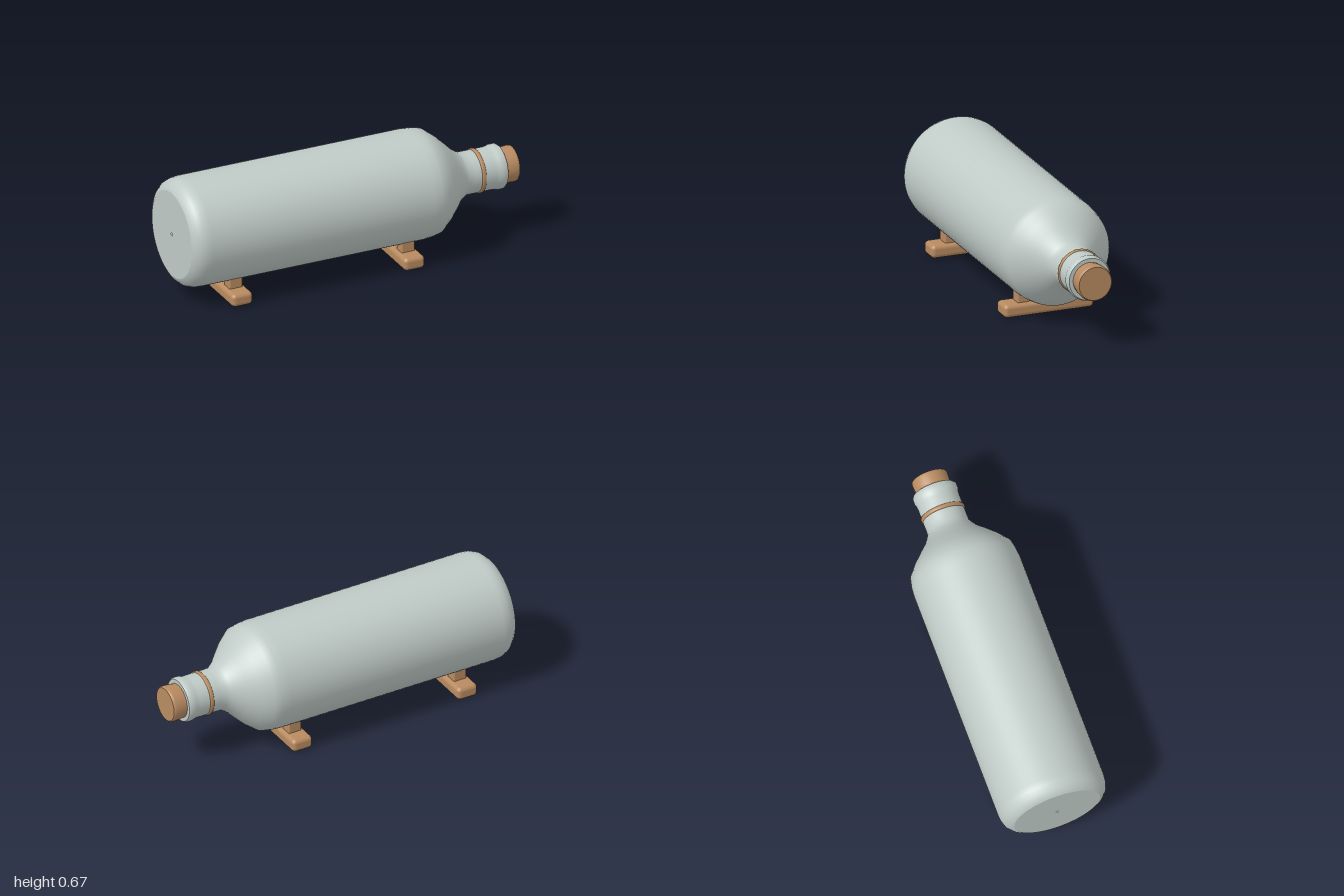
import * as THREE from 'three';
import { RoundedBoxGeometry } from 'three/addons/geometries/RoundedBoxGeometry.js';

const AXIS_Y = 0.375;

export function createModel() {
  const model = new THREE.Group();
  model.name = 'bottleOnStand';

  const glass = new THREE.MeshStandardMaterial({ color: 0xbfcac6, side: THREE.DoubleSide });
  glass.name = 'paleGlass';
  const wood = new THREE.MeshStandardMaterial({ color: 0xb88a60 });
  wood.name = 'warmWood';

  // Turned part lying along x; profile points are [x, radius], repeated points make a sharp edge
  function turned(name, profile, material) {
    const points = profile.map(([x, r]) => new THREE.Vector2(r, x));
    const geometry = new THREE.LatheGeometry(points, 64).rotateZ(-Math.PI / 2);
    const mesh = new THREE.Mesh(geometry, material);
    mesh.name = name;
    mesh.position.y = AXIS_Y;
    model.add(mesh);
  }

  function block(name, size, radius, position) {
    const mesh = new THREE.Mesh(new RoundedBoxGeometry(...size, 4, radius), wood);
    mesh.name = name;
    mesh.position.set(...position);
    model.add(mesh);
  }

  // Bottle: flat base with a pinhole, body, shoulder, neck and lip
  turned('bottle', [
    [-1, 0.008], [-1, 0.24], [-1, 0.24], [-0.99, 0.262], [-0.965, 0.285], [-0.935, 0.296],
    [-0.9, 0.3], [0.4, 0.3], [0.45, 0.296], [0.495, 0.287], [0.55, 0.244], [0.6, 0.195],
    [0.64, 0.153], [0.67, 0.131], [0.695, 0.117], [0.73, 0.116], [0.85, 0.116], [0.87, 0.118],
    [0.885, 0.123], [0.91, 0.123], [0.92, 0.116], [0.92, 0.116], [0.92, 0.09],
  ], glass);

  // Stopper
  turned('cork', [
    [0.9, 0.094], [0.93, 0.094], [0.945, 0.097], [0.985, 0.099], [0.996, 0.097],
    [1, 0.092], [1, 0.092], [1, 0],
  ], wood);

  // Band around the neck
  turned('neckRing', [
    [0.768, 0.114], [0.77, 0.12], [0.775, 0.122], [0.785, 0.122], [0.79, 0.12], [0.792, 0.114],
  ], wood);

  // Two cradles, each a cross bar with a pair of posts
  for (const x of [-0.705, 0.305]) {
    block('standFoot', [0.122, 0.073, 0.512], 0.024, [x, 0.0375, 0]);
    for (const side of [-1, 1]) {
      block('standPost', [0.076, 0.09, 0.068], 0.008, [x, 0.09, side * 0.138]);
    }
  }

  return model;
}
